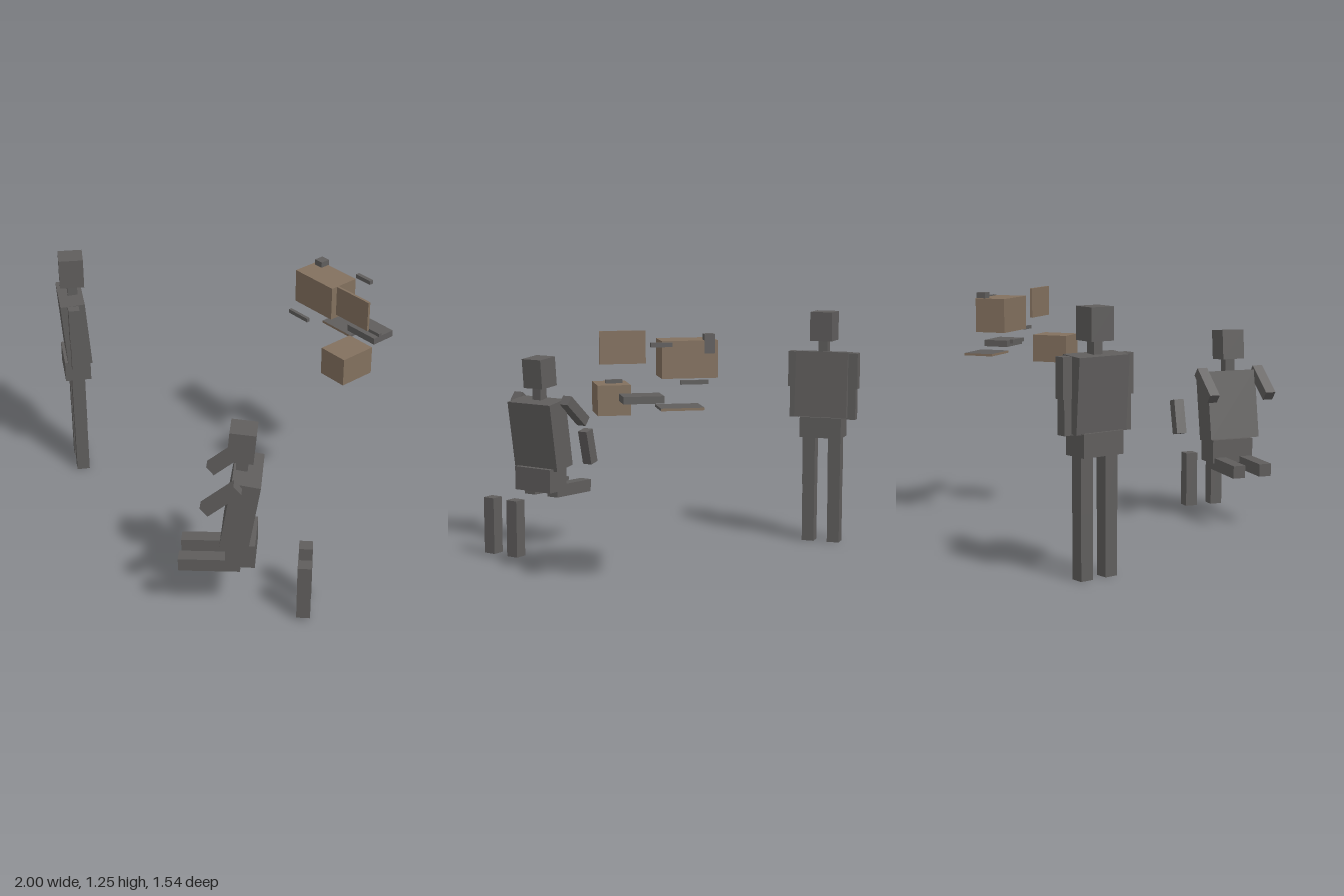
import * as THREE from 'three';

const rad = THREE.MathUtils.degToRad;

export function createModel() {
  const grey = new THREE.MeshStandardMaterial({ color: 0x5f5d5c });
  grey.name = 'dark grey';
  const tan = new THREE.MeshStandardMaterial({ color: 0x82705e });
  tan.name = 'tan';

  // Box by size and centre, with an optional pitch and yaw in degrees
  function box(parent, name, size, pos, material = grey, pitch = 0, yaw = 0) {
    const mesh = new THREE.Mesh(new THREE.BoxGeometry(...size), material);
    mesh.name = name;
    mesh.position.set(...pos);
    mesh.rotation.set(rad(pitch), rad(yaw), 0);
    parent.add(mesh);
  }

  // Box by its low and high corners
  function span(parent, name, lo, hi, material) {
    const size = lo.map((v, i) => hi[i] - v);
    box(parent, name, size, lo.map((v, i) => v + size[i] / 2), material);
  }

  function figure(parent, name, x, z, yaw) {
    const g = new THREE.Group();
    g.name = name;
    g.position.set(x, 0, z);
    g.rotation.y = rad(yaw);
    parent.add(g);
    return g;
  }

  const model = new THREE.Group();
  model.name = 'figuresAndFloatingBoxes';

  // Standing figure, turned 30 degrees
  const standing = figure(model, 'standingFigure', -0.828, 0.336, -30);
  box(standing, 'head', [0.121, 0.154, 0.124], [0, 1.17, 0], grey, 0, -3);
  box(standing, 'neck', [0.05, 0.07, 0.05], [0, 1.063, 0]);
  box(standing, 'torso', [0.284, 0.35, 0.125], [0, 0.857, 0], grey, 4);
  box(standing, 'pelvis', [0.226, 0.11, 0.133], [0, 0.628, 0]);
  for (const s of [-1, 1]) {
    box(standing, 'thigh', [0.068, 0.265, 0.068], [s * 0.07, 0.442, 0]);
    box(standing, 'lowerLeg', [0.066, 0.31, 0.066], [s * 0.07, 0.155, 0]);
    box(standing, 'upperArm', [0.055, 0.19, 0.056], [s * 0.165, 0.935, s * 0.01]);
    box(standing, 'forearm', [0.05, 0.18, 0.05], [s * 0.158, 0.765, s * 0.01]);
  }

  // Kneeling figure, turned 45 degrees, lower legs set apart behind it
  const kneeling = figure(model, 'kneelingFigure', 0.685, 0.482, -45);
  box(kneeling, 'head', [0.124, 0.155, 0.124], [0, 0.938, 0], grey, -5);
  box(kneeling, 'neck', [0.053, 0.08, 0.053], [0, 0.833, 0]);
  box(kneeling, 'torso', [0.284, 0.362, 0.135], [0, 0.612, 0], grey, -9);
  box(kneeling, 'pelvis', [0.235, 0.125, 0.14], [0, 0.372, 0]);
  for (const s of [-1, 1]) {
    box(kneeling, 'thigh', [0.068, 0.066, 0.292], [s * 0.076, 0.304, 0.147], grey, 2);
    box(kneeling, 'lowerLeg', [0.066, 0.295, 0.066], [s * 0.076, 0.163, -0.303]);
    box(kneeling, 'upperArm', [0.056, 0.2, 0.056], [s * 0.165, 0.735, 0.085], grey, -50);
  }
  box(kneeling, 'detachedForearm', [0.055, 0.18, 0.055], [-0.301, 0.567, 0.02], grey, -13);

  // Floating tan boxes and panels
  const floating = new THREE.Group();
  floating.name = 'floatingBoxes';
  model.add(floating);
  span(floating, 'largeBox', [-0.03, 1.025, -0.66], [0.235, 1.2, -0.497], tan);
  span(floating, 'uprightPanel', [0.283, 1.08, -0.495], [0.503, 1.236, -0.482], tan);
  span(floating, 'cube', [0.357, 0.838, -0.512], [0.515, 0.982, -0.32], tan);
  span(floating, 'flatPanel', [0.057, 0.89, -0.773], [0.26, 0.902, -0.613],
    [grey, tan, grey, tan, tan, tan]);

  // Floating grey block and bars
  span(floating, 'greyBlock', [0.24, 0.922, -0.745], [0.43, 0.956, -0.613], grey);
  span(floating, 'latch', [-0.014, 1.14, -0.664], [0.035, 1.229, -0.613], grey);
  span(floating, 'backBar', [0.197, 1.178, -0.72], [0.297, 1.198, -0.699], grey);
  span(floating, 'sideBar', [0.412, 1.003, -0.601], [0.49, 1.02, -0.583], grey);
  span(floating, 'frontBar', [-0.026, 0.972, -0.468], [0.11, 0.992, -0.451], grey);

  return model;
}
